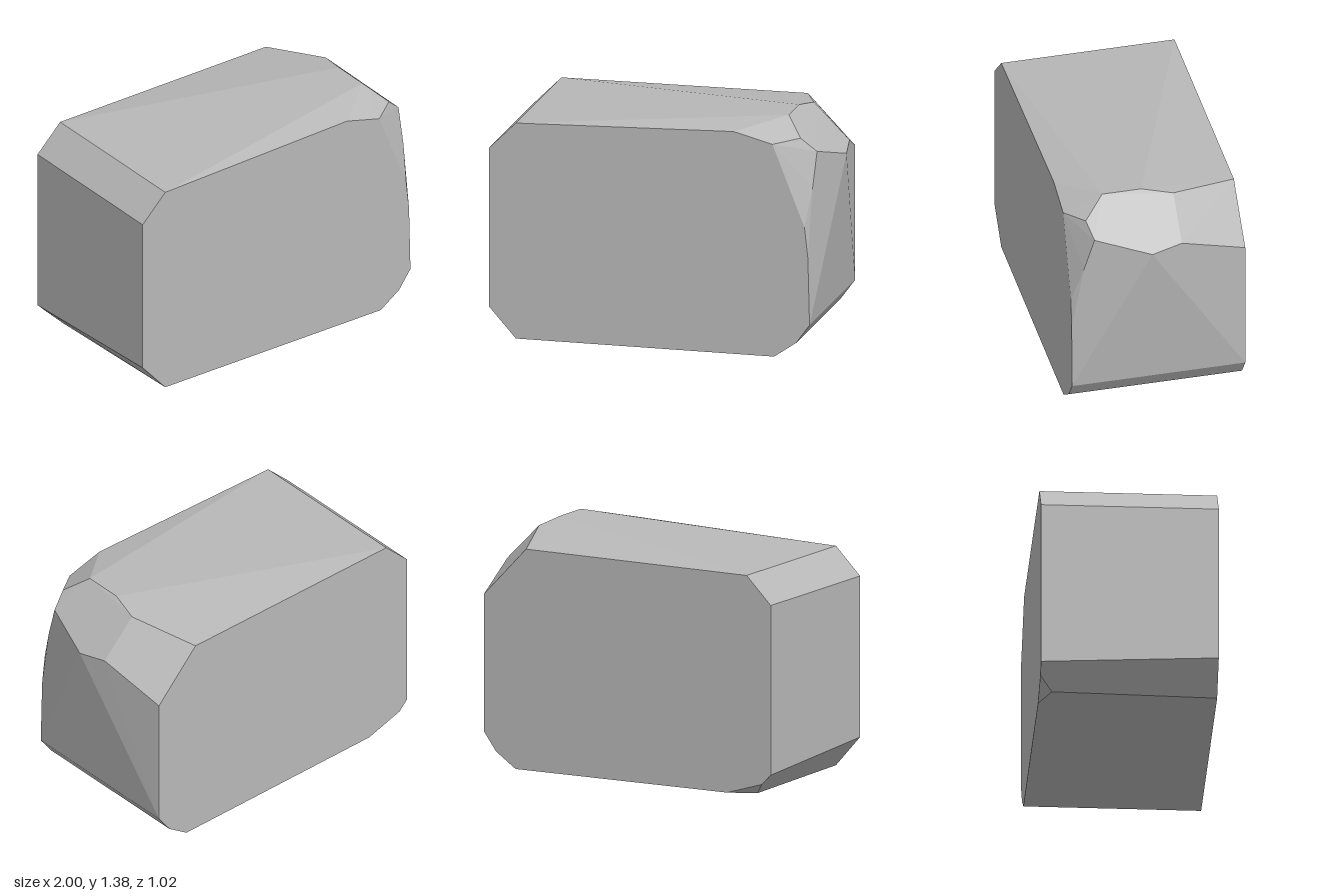
import * as THREE from 'three';
import { ConvexGeometry } from 'three/addons/geometries/ConvexGeometry.js';

const HALF_DEPTH = 0.51;

// Outlines [x, y] of the flat front and back faces
const frontOutline = [
  [-1, 1.12], [-0.84, 1.28], [0.45, 1.32], [0.68, 1.26], [0.87, 0.78], [0.89, 0.6],
  [0.9, 0.2], [0.82, 0.09], [0.69, 0], [-0.84, 0], [-1, 0.18],
];
const backOutline = [
  [-1, 1.12], [-0.84, 1.28], [0.62, 1.29], [0.9, 1.0], [0.9, 0.2],
  [0.82, 0.09], [0.69, 0], [-0.71, 0], [-0.94, 0.07], [-1, 0.13],
];

// Corners [x, y, z] of the chipped upper side and of the lower chip
const chippedCorners = [
  [0.72, 1.38, 0.29], [0.72, 1.38, 0.06], [0.76, 1.35, -0.12], // top ridge
  [0.82, 1.28, 0.41], [0.91, 1.2, 0.38], [0.9, 1.0, 0.44],     // front chip
  [1, 1.11, 0.06], [0.97, 1.14, -0.12],                        // side peak
  [-0.87, 0, -0.44],                                           // lower chip
];

export function createModel() {
  const group = new THREE.Group();
  group.name = 'stoneBlock';

  const stone = new THREE.MeshStandardMaterial({ color: 0xb8b8b8 });
  stone.name = 'grey stone';

  // The faceted boulder is the hull of its two faces and chipped corners
  const points = [
    ...frontOutline.map(([x, y]) => new THREE.Vector3(x, y, HALF_DEPTH)),
    ...backOutline.map(([x, y]) => new THREE.Vector3(x, y, -HALF_DEPTH)),
    ...chippedCorners.map((p) => new THREE.Vector3(...p)),
  ];
  const block = new THREE.Mesh(new ConvexGeometry(points), stone);
  block.name = 'chippedStone';
  group.add(block);
  return group;
}
